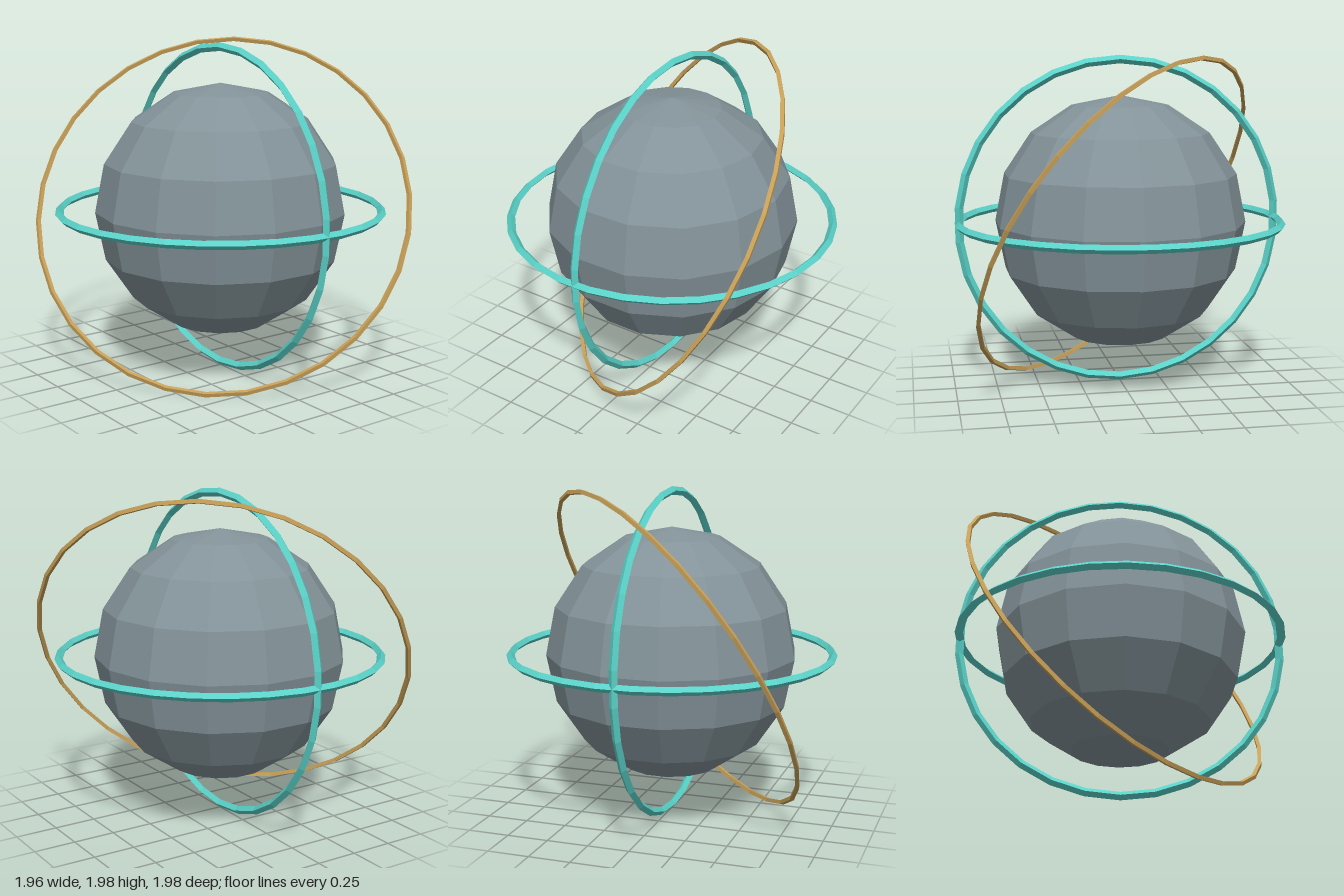
import * as THREE from 'three';

const CENTER_Y = 1.003;

function material(name, color) {
  const m = new THREE.MeshStandardMaterial({ color, flatShading: true });
  m.name = name;
  return m;
}

export function createModel() {
  const model = new THREE.Group();
  model.name = 'ringedSphere';

  const slate = material('slate grey', 0x839399);
  const turquoise = material('turquoise', 0x5ad2c8);
  const gold = material('gold', 0xc8a058);

  const add = (name, geometry, mat) => {
    const mesh = new THREE.Mesh(geometry, mat);
    mesh.name = name;
    mesh.position.y = CENTER_Y;
    model.add(mesh);
    return mesh;
  };

  // Thin hoop with a diamond cross-section, standing in the xy plane, a corner at the top
  const hoop = (radius, tube) =>
    new THREE.TorusGeometry(radius, tube, 4, 30).rotateZ(Math.PI / 2);

  // Faceted core, with corners facing front and back
  add('core', new THREE.SphereGeometry(0.752, 14, 8).rotateY(Math.PI / 2), slate);

  // Two crossing hoops
  add('uprightRing', hoop(0.9625, 0.025), turquoise);
  add('levelRing', hoop(0.9625, 0.025).rotateX(Math.PI / 2), turquoise);

  // Larger, thinner hoop tilted back and turned to the corner
  add('tiltedRing', hoop(1.125, 0.016).rotateX(-Math.PI / 6).rotateY(Math.PI / 4), gold);

  return model;
}
